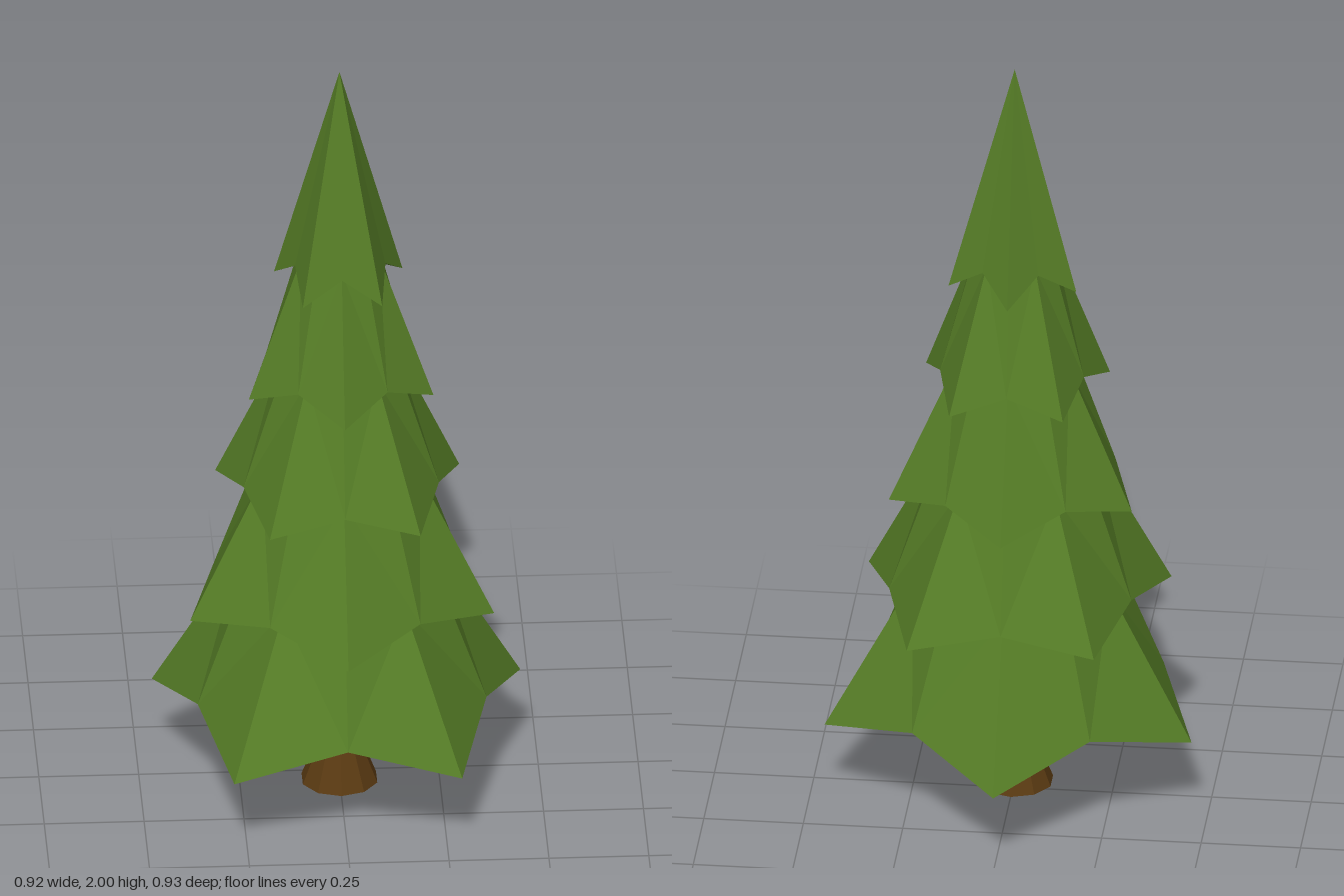
import * as THREE from 'three';

const AXIS_Z = 0.045; // the tree axis sits slightly forward of the centre
const POINTS = 5;

// One skirt of branches: a five-pointed star hem rising to a small ring or apex.
function tierGeometry({ tip, tipY, notch, notchY, top, topY, tipAtBack }) {
  const n = POINTS * 2;
  const start = tipAtBack ? Math.PI : 0;
  const at = (i, r, y) => {
    const a = start + (i * Math.PI) / POINTS;
    return [r * Math.sin(a), y, r * Math.cos(a) * 1.055];
  };
  const hem = (i) => (i % 2 === 0 ? at(i, tip, tipY) : at(i, notch, notchY));
  const ring = (i) => at(i, top, topY);
  const centre = [0, notchY + 0.01, 0];
  const pos = [];
  const tri = (a, b, c) => pos.push(...a, ...b, ...c);
  for (let i = 0; i < n; i++) {
    const a = hem(i), b = hem(i + 1), c = ring(i + 1), d = ring(i);
    if (top === 0) {
      tri(a, b, c);
    } else if (i % 2 === 0) { // mirrored diagonals keep each bough symmetrical
      tri(a, b, d);
      tri(b, c, d);
    } else {
      tri(a, b, c);
      tri(a, c, d);
    }
    tri(b, a, centre); // underside
  }
  const geo = new THREE.BufferGeometry();
  geo.setAttribute('position', new THREE.Float32BufferAttribute(pos, 3));
  geo.computeVertexNormals();
  return geo;
}

export function createModel() {
  const needles = new THREE.MeshStandardMaterial({ color: 0x557c26, flatShading: true });
  needles.name = 'needle green';
  const bark = new THREE.MeshStandardMaterial({ color: 0x5a3a12, flatShading: true });
  bark.name = 'bark brown';

  const tree = new THREE.Group();
  tree.name = 'pineTree';

  // Branch tiers, bottom to top, with star points alternating back and front
  const tiers = [
    { tip: 0.485, tipY: 0.21, notch: 0.38, notchY: 0.285, top: 0.26, topY: 0.59 },
    { tip: 0.4, tipY: 0.525, notch: 0.32, notchY: 0.575, top: 0.207, topY: 0.89 },
    { tip: 0.321, tipY: 0.825, notch: 0.257, notchY: 0.875, top: 0.15, topY: 1.19 },
    { tip: 0.243, tipY: 1.12, notch: 0.19, notchY: 1.175, top: 0.103, topY: 1.49 },
    { tip: 0.169, tipY: 1.41, notch: 0.119, notchY: 1.475, top: 0, topY: 2 },
  ];
  tiers.forEach((t, i) => {
    const mesh = new THREE.Mesh(tierGeometry({ ...t, tipAtBack: i % 2 === 0 }), needles);
    mesh.name = `branchTier${i + 1}`;
    mesh.position.z = AXIS_Z;
    tree.add(mesh);
  });

  // Flared trunk
  const profile = [[0.098, 0], [0.055, 0.11], [0.045, 0.31]].map(([r, y]) => new THREE.Vector2(r, y));
  const trunk = new THREE.Mesh(new THREE.LatheGeometry(profile, 10), bark);
  trunk.name = 'trunk';
  trunk.position.z = AXIS_Z;
  tree.add(trunk);

  // Underside of the trunk
  const base = new THREE.Mesh(new THREE.CircleGeometry(0.098, 10).rotateZ(Math.PI / 2).rotateX(Math.PI / 2), needles);
  base.name = 'trunkBase';
  base.position.z = AXIS_Z;
  tree.add(base);

  return tree;
}
